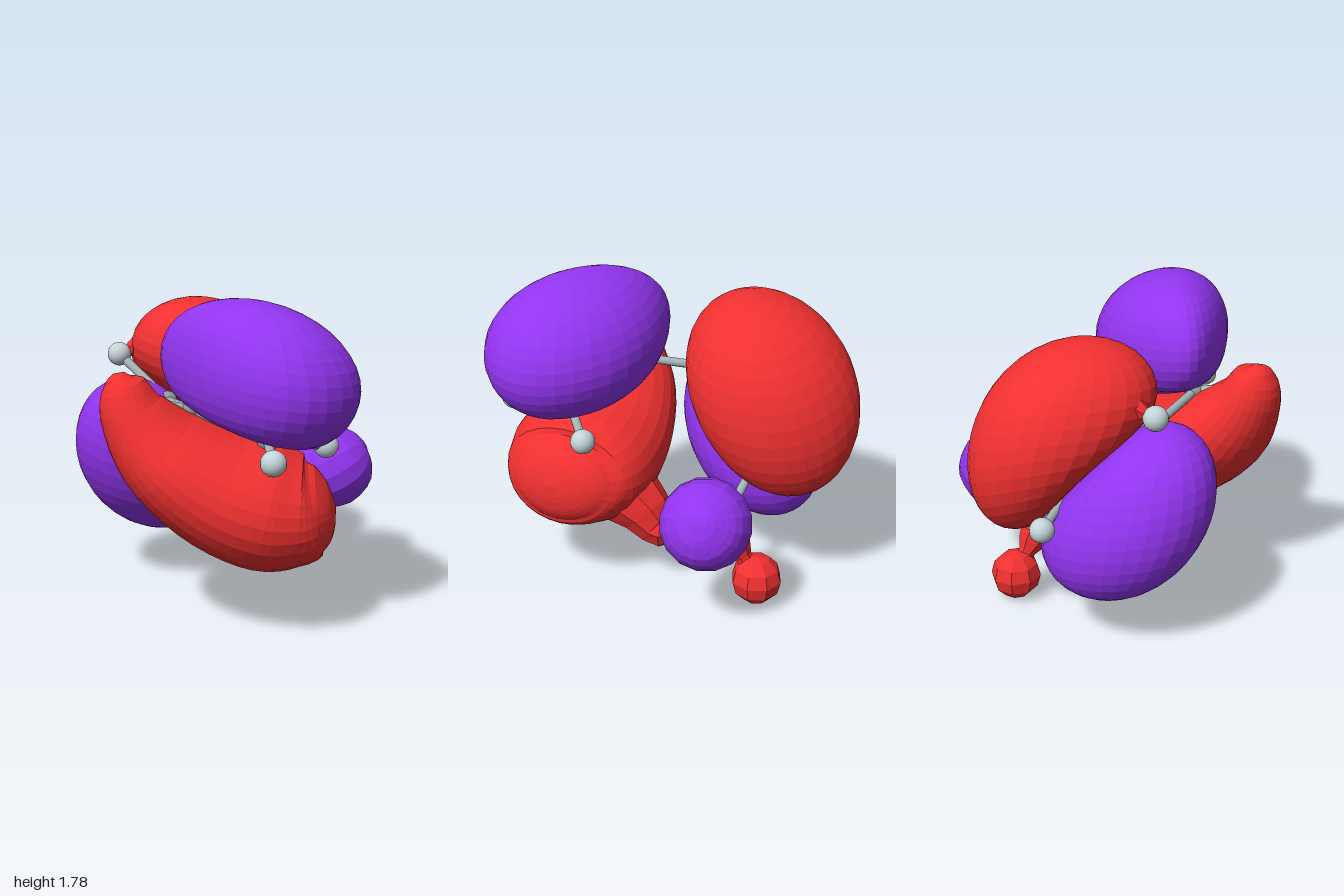
import * as THREE from 'three';

const V = (a) => new THREE.Vector3(a[0], a[1], a[2]);
const paint = (color, flatShading) => new THREE.MeshStandardMaterial({ color, flatShading });

// Leaning ellipsoid: half extents, lean = correlation of xy, xz, yz.
// The side facing the nodal plane levels off at cap, taper narrows it toward -x,
// and the middle of its axis is bowed outward.
function lobeGeometry({ half, lean, facing, cap, taper = 0, axis, bow }) {
  const [hx, hy, hz] = half, [xy, xz, yz] = lean;
  const yy = Math.sqrt(1 - xy * xy), zy = (yz - xy * xz) / yy;
  const zz = Math.sqrt(1 - xz * xz - zy * zy);
  const n = V(facing).normalize(), along = V(axis), shift = V(bow);
  const geo = new THREE.SphereGeometry(1, 30, 20), pos = geo.attributes.position;
  const p = new THREE.Vector3();
  for (let i = 0; i < pos.count; i++) {
    const a = pos.getX(i), b = pos.getY(i), c = pos.getZ(i) * (1 + taper * (a - a * a));
    p.set(hx * a, hy * (xy * a + yy * b), hz * (xz * a + zy * b + zz * c));
    const u = p.dot(along), h = Math.max(0, p.dot(n));
    p.addScaledVector(n, h / (1 + (h / cap) ** 6) ** (1 / 6) - h);
    p.addScaledVector(shift, 0.4 - u * u);
    pos.setXYZ(i, p.x, p.y, p.z);
  }
  geo.computeVertexNormals();
  return geo;
}

// Loft along stations [x, y, z, radius, depth]; depth lies along the ref axis
function loftGeometry(stations, ref, rings, sides) {
  const path = new THREE.CatmullRomCurve3(stations.map(V), false, 'catmullrom');
  const size = new THREE.CatmullRomCurve3(
    stations.map((s) => V([s[3], s[4] ?? s[3], 0])), false, 'catmullrom');
  const verts = [], index = [];
  for (let i = 0; i <= rings; i++) {
    const t = i / rings, c = path.getPoint(t), r = size.getPoint(t);
    const T = path.getTangent(t);
    const side = T.clone().cross(ref).normalize(), up = T.clone().cross(side);
    for (let j = 0; j < sides; j++) {
      const a = (j / sides) * Math.PI * 2;
      const p = c.clone()
        .addScaledVector(side, Math.cos(a) * Math.max(0, r.x))
        .addScaledVector(up, Math.sin(a) * Math.max(0, r.y));
      verts.push(p.x, p.y, p.z);
      if (i < rings) {
        const q = i * sides + j, w = i * sides + ((j + 1) % sides);
        index.push(q, w, q + sides, w, w + sides, q + sides);
      }
    }
  }
  const geo = new THREE.BufferGeometry();
  geo.setAttribute('position', new THREE.Float32BufferAttribute(verts, 3));
  geo.setIndex(index);
  geo.computeVertexNormals();
  return geo;
}

export function createModel() {
  const model = new THREE.Group();
  model.name = 'molecularOrbital';
  const red = paint(0xf03030, true), purple = paint(0x9235f0, true);
  const pale = paint(0xc4d4d8, false), grey = paint(0x8f9b9b, false), stick = paint(0xa4b4b6, false);
  const X = new THREE.Vector3(1, 0, 0), Z = new THREE.Vector3(0, 0, 1);

  const add = (name, geo, mat, at = [0, 0, 0]) => {
    const mesh = new THREE.Mesh(geo, mat);
    mesh.name = name;
    mesh.position.set(...at);
    model.add(mesh);
    return mesh;
  };

  // Large rounded lobes
  add('frontUpperLobe', lobeGeometry({
    half: [0.535, 0.4, 0.455], lean: [-0.15, 0.34, -0.06], facing: [-0.27, -0.96, 0], cap: 0.31,
    taper: 0.2, axis: [1.87, 0, 0], bow: [0, 0, 0.09],
  }), purple, [0.225, 1.385, 0.494]);
  add('backUpperLobe', lobeGeometry({
    half: [0.465, 0.525, 0.5], lean: [-0.26, -0.08, 0.32], facing: [-0.65, -0.65, 0.4], cap: 0.31,
    axis: [-1.1, 1, 0.75], bow: [0.06, 0.06, -0.035],
  }), red, [-0.09, 1.155, -0.5]);
  add('backLowerLobe', lobeGeometry({
    half: [0.45, 0.49, 0.44], lean: [-0.2, -0.15, 0.34], facing: [0.65, 0.65, -0.4], cap: 0.34,
    axis: [-1.1, 1, 0.75], bow: [-0.03, -0.03, 0.02],
  }), purple, [-0.42, 0.75, -0.28]);

  // Crescent lobe with an arm rising to one side
  add('frontLowerLobe', loftGeometry([
    [-0.47, 1.41, 0.57, 0, 0], [-0.47, 1.35, 0.57, 0.11, 0.12], [-0.42, 1.17, 0.56, 0.185, 0.22],
    [-0.25, 0.95, 0.53, 0.265, 0.36], [0.02, 0.77, 0.51, 0.32, 0.43], [0.28, 0.68, 0.505, 0.345, 0.44],
    [0.46, 0.66, 0.51, 0.295, 0.385], [0.555, 0.67, 0.51, 0.225, 0.29],
    [0.617, 0.68, 0.51, 0.13, 0.17], [0.645, 0.685, 0.51, 0, 0],
  ], Z, 36, 28), red);

  // Small lobes around the end group
  add('sideLobe', loftGeometry([
    [0.27, 0.43, -0.33, 0], [0.31, 0.46, -0.34, 0.1], [0.4, 0.52, -0.36, 0.16], [0.52, 0.59, -0.39, 0.215],
    [0.63, 0.65, -0.41, 0.25], [0.74, 0.71, -0.435, 0.216], [0.8, 0.746, -0.448, 0.15],
    [0.83, 0.763, -0.455, 0.085], [0.845, 0.77, -0.457, 0],
  ], Z, 16, 16), purple);
  add('frontBump', loftGeometry([
    [0.27, 0.6, 0.34, 0.24], [0.27, 0.47, 0.15, 0.17], [0.27, 0.36, 0.04, 0.125],
    [0.27, 0.34, -0.03, 0.1], [0.27, 0.34, -0.075, 0],
  ], X, 6, 8), red);
  add('lowerBall', new THREE.SphereGeometry(0.145, 8, 6), red, [0.27, 0.15, -0.57]);
  add('lowerBallNeck', loftGeometry([
    [0.26, 0.43, -0.37, 0], [0.27, 0.37, -0.42, 0.1], [0.27, 0.27, -0.49, 0.05], [0.27, 0.18, -0.55, 0.06],
  ], X, 6, 7), red);
  add('backLobeSpike', loftGeometry([
    [-0.4, 1.43, -0.36, 0.13], [-0.52, 1.38, -0.3, 0.06], [-0.62, 1.35, -0.27, 0],
  ], Z, 4, 6), red);

  // Ball and stick skeleton
  const carbons = [
    [0.28, 1.05, 0.58], [-0.14, 1.18, 0.42], [-0.31, 1.12, -0.06], [-0.12, 0.8, -0.46], [0.27, 0.42, -0.35],
  ];
  // Each hydrogen: the carbon it joins, then its position
  const hydrogens = [
    [0, [0.32, 1.02, 0.91]], [0, [0.59, 0.97, 0.33]], [1, [-0.46, 1.27, 0.56]],
    [2, [-0.61, 1.35, -0.26]], [3, [-0.33, 0.76, -0.79]],
    [4, [0.27, 0.35, 0.02]], [4, [0.27, 0.15, -0.57]], [4, [0.64, 0.65, -0.41]],
  ];
  const bond = (from, to) => {
    const a = V(from), d = V(to).sub(a);
    const mesh = add('bond', new THREE.CylinderGeometry(0.025, 0.025, d.length(), 12), stick,
      a.addScaledVector(d, 0.5).toArray());
    mesh.quaternion.setFromUnitVectors(new THREE.Vector3(0, 1, 0), d.normalize());
  };
  carbons.forEach((c, i) => {
    add('carbonAtom', new THREE.SphereGeometry(i === 4 ? 0.09 : 0.055, 20, 14), grey, c);
    if (i) bond(carbons[i - 1], c);
  });
  for (const [i, at] of hydrogens) {
    add('hydrogenAtom', new THREE.SphereGeometry(0.068, 20, 14), pale, at);
    bond(carbons[i], at);
  }
  return model;
}
